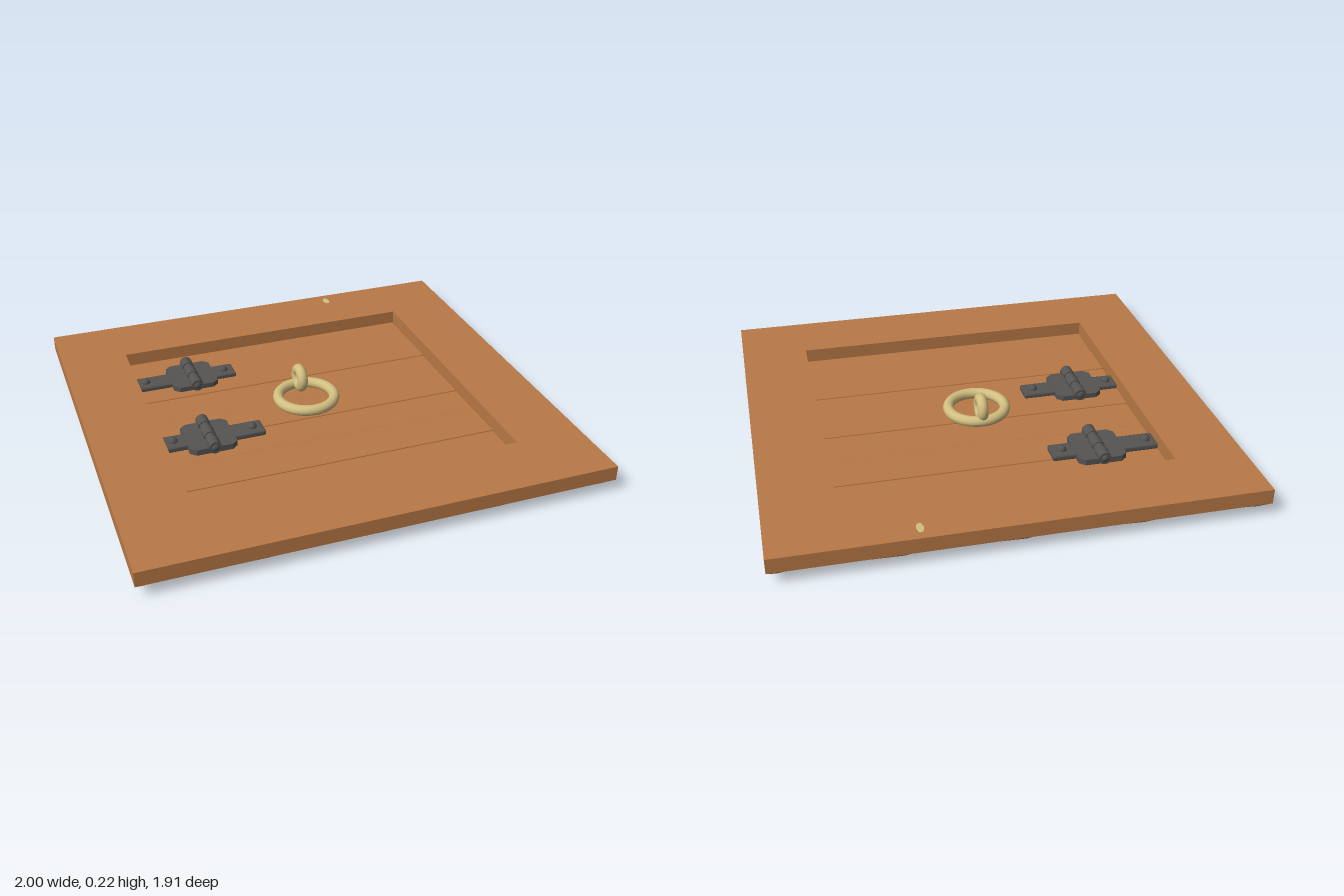
import * as THREE from 'three';
import { toCreasedNormals } from 'three/addons/utils/BufferGeometryUtils.js';
import { RoundedBoxGeometry } from 'three/addons/geometries/RoundedBoxGeometry.js';

const named = (name, color) => Object.assign(new THREE.MeshStandardMaterial({ color }), { name });

function add(parent, name, geometry, material, x = 0, y = 0, z = 0) {
  const mesh = new THREE.Mesh(geometry, material);
  mesh.name = name;
  mesh.position.set(x, y, z);
  parent.add(mesh);
  return mesh;
}

// Rectangular frame: a cross-section swept round four sides, with a hewn lower edge
function frameGeometry() {
  const perSide = 16;
  const corners = [[1, 1], [1, -1], [-1, -1], [-1, 1]];
  const loop = [];
  for (let s = 0; s < 4; s++) {
    const a = corners[s], b = corners[(s + 1) % 4];
    for (let i = 0; i < perSide; i++) {
      const t = i / perSide;
      const hewn = 0.03 * Math.abs(Math.sin(t * Math.PI * 4));
      loop.push({ x: a[0] + (b[0] - a[0]) * t, z: a[1] + (b[1] - a[1]) * t, hewn });
    }
  }
  const section = [
    [0.7, 0.657, 0.12, 0], [1, 0.955, 0.12, 0], [1, 0.955, 0.055, 0],
    [0.96, 0.91, 0.016, 1], [0.7, 0.657, 0.012, 0], [0.7, 0.657, 0.12, 0],
  ];
  const positions = [], index = [], n = loop.length;
  for (const [hx, hz, y, k] of section)
    for (const p of loop) positions.push(p.x * (hx - k * p.hewn), y, p.z * (hz - k * p.hewn));
  for (let j = 0; j < section.length - 1; j++)
    for (let i = 0; i < n; i++) {
      const m = (i + 1) % n;
      const a = j * n + i, b = a + n, c = (j + 1) * n + m, d = j * n + m;
      index.push(a, b, c, a, c, d);
    }
  const g = new THREE.BufferGeometry();
  g.setAttribute('position', new THREE.Float32BufferAttribute(positions, 3));
  g.setIndex(index);
  return toCreasedNormals(g, 0.4);
}

// Iron hinge with strap, centre plate, knuckled pin and rivets
function makeHinge(iron, xEnd, xPin, z, name) {
  const hinge = new THREE.Group();
  hinge.name = name;
  const xStart = -0.698;
  add(hinge, 'strap', new RoundedBoxGeometry(xEnd - xStart, 0.026, 0.1, 1, 0.008), iron, (xStart + xEnd) / 2, 0.07, z);
  const plate = new THREE.Shape();
  [[0.105, 0.05], [0.105, 0.085], [0.08, 0.108], [-0.08, 0.108], [-0.105, 0.085], [-0.105, 0.05],
    [-0.105, -0.085], [-0.08, -0.108], [0.08, -0.108], [0.105, -0.085]]
    .forEach(([x, y], i) => (i ? plate.lineTo(x, y) : plate.moveTo(x, y)));
  const plateGeo = new THREE.ExtrudeGeometry(plate, { depth: 0.03, bevelEnabled: false }).rotateX(-Math.PI / 2);
  add(hinge, 'centrePlate', plateGeo, iron, xPin, 0.056, z);
  add(hinge, 'pin', new THREE.CapsuleGeometry(0.023, 0.21, 4, 14).rotateX(Math.PI / 2), iron, xPin, 0.09, z);
  for (const dz of [-0.09, 0, 0.09])
    add(hinge, 'knuckle', new THREE.CylinderGeometry(0.028, 0.028, 0.06, 14).rotateX(Math.PI / 2), iron, xPin, 0.09, z + dz);
  for (const x of [-0.655, xEnd - 0.05])
    add(hinge, 'rivet', new THREE.SphereGeometry(0.021, 12, 8), iron, x, 0.083, z);
  return hinge;
}

export function createModel() {
  const model = new THREE.Group();
  model.name = 'trapdoor';
  const wood = named('warm wood', 0xb97946);
  const iron = named('dark iron', 0x555453);
  const brass = named('pale brass', 0xd2bf80);

  add(model, 'frame', frameGeometry(), wood);

  // Recessed planks
  const seams = [-0.658, -0.46, -0.275, -0.08, 0.09, 0.265, 0.455, 0.656];
  for (let i = 0; i < seams.length - 1; i++) {
    const top = 0.06 + (i % 2) * 0.003;
    const g = new RoundedBoxGeometry(1.4, top, seams[i + 1] - seams[i], 1, 0.005);
    add(model, 'plank', g, wood, 0, top / 2, (seams[i] + seams[i + 1]) / 2);
  }

  model.add(makeHinge(iron, -0.23, -0.435, -0.427, 'backHinge'));
  model.add(makeHinge(iron, -0.25, -0.497, 0.108, 'frontHinge'));

  // Pull ring and its upright eye
  add(model, 'pullRing', new THREE.TorusGeometry(0.127, 0.024, 14, 40).rotateX(Math.PI / 2), brass, 0, 0.102, -0.03);
  add(model, 'ringEye', new THREE.TorusGeometry(0.041, 0.024, 14, 28).rotateY(Math.PI / 2), brass, 0, 0.15, -0.12);

  // Small brass inlay on the back rail
  const inlay = add(model, 'inlay', new THREE.CylinderGeometry(0.015, 0.015, 0.004, 12), brass, 0.415, 0.12, -0.89);
  inlay.scale.z = 2;
  return model;
}
